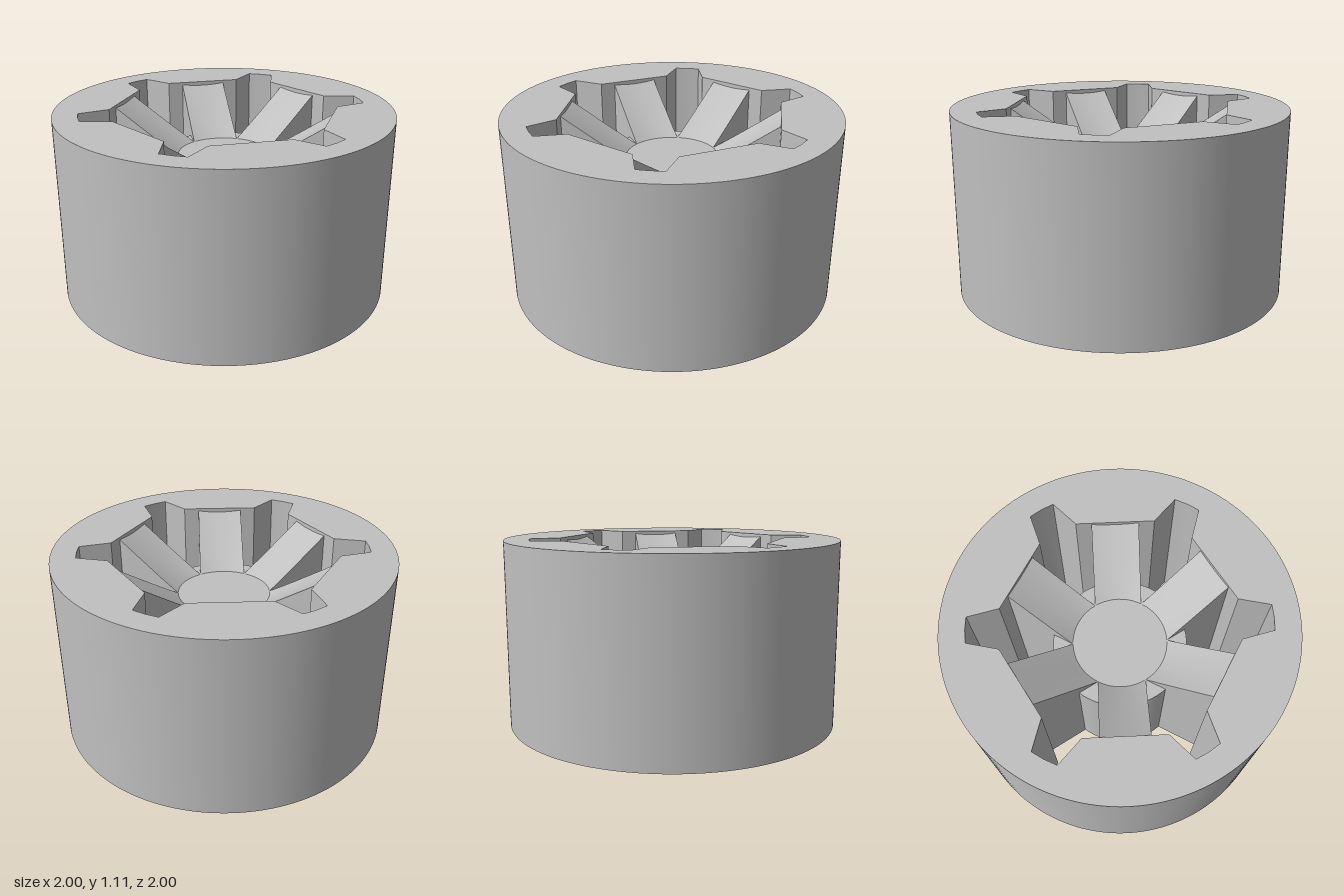
import * as THREE from 'three';
import { toCreasedNormals } from 'three/addons/utils/BufferGeometryUtils.js';

const HEIGHT = 1.11;
const HUB_TOP = 0.83;      // flat centre of the hub
const HUB_RADIUS = 0.39;
const DISH_RADIUS = 0.275; // where the conical spoke tops begin to rise
const DISH_SLOPE = 0.705;
const FLAT = 0.637;        // distance from the axis to the flat inner walls
const SPOKE_HALF = 0.1375;

// Outer ring: round outside, hexagonal inside with a tapered notch at every corner
function ringGeometry() {
  const shape = new THREE.Shape();
  shape.absarc(0, 0, 1, 0, Math.PI * 2, false);
  const notch = [[0.665, -0.12], [0.848, -0.077], [0.853, 0], [0.848, 0.077], [0.665, 0.12]];
  const points = [];
  for (let i = 0; i < 6; i++) {
    const a = Math.PI / 6 + i * Math.PI / 3;
    for (const [r, t] of notch) {
      points.push(new THREE.Vector2(
        r * Math.cos(a) - t * Math.sin(a),
        r * Math.sin(a) + t * Math.cos(a)));
    }
  }
  shape.holes.push(new THREE.Path(points));
  const geo = new THREE.ExtrudeGeometry(shape, { depth: HEIGHT, bevelEnabled: false, curveSegments: 96 });
  geo.rotateX(-Math.PI / 2);
  return toCreasedNormals(geo, 0.3);
}

// Spoke along +x: full depth, its top being a slice of a shallow cone
function spokeGeometry() {
  const geo = new THREE.BoxGeometry(1, 1, 1, 10, 1, 10);
  const p = geo.attributes.position;
  for (let i = 0; i < p.count; i++) {
    const z = p.getZ(i) * 2 * SPOKE_HALF;
    const inner = Math.sqrt(DISH_RADIUS ** 2 - z * z);
    const x = THREE.MathUtils.lerp(inner, FLAT, p.getX(i) + 0.5);
    const top = HUB_TOP + (Math.hypot(x, z) - DISH_RADIUS) * DISH_SLOPE;
    p.setXYZ(i, x, p.getY(i) > 0 ? top : 0, z);
  }
  geo.computeVertexNormals();
  return geo;
}

export function createModel() {
  const model = new THREE.Group();
  model.name = 'spokedRing';
  const grey = new THREE.MeshStandardMaterial({ color: 0xc0c0c0 });
  grey.name = 'plain grey';

  const add = (name, geometry) => {
    const mesh = new THREE.Mesh(geometry, grey);
    mesh.name = name;
    model.add(mesh);
    return mesh;
  };

  add('outerRing', ringGeometry());

  // Central hub
  add('hub', new THREE.CylinderGeometry(HUB_RADIUS, HUB_RADIUS, HUB_TOP, 72)).position.y = HUB_TOP / 2;

  // Six spokes joining the hub to the flat walls
  const spoke = spokeGeometry();
  for (let i = 0; i < 6; i++) {
    add('spoke' + (i + 1), spoke).rotation.y = i * Math.PI / 3;
  }
  return model;
}
